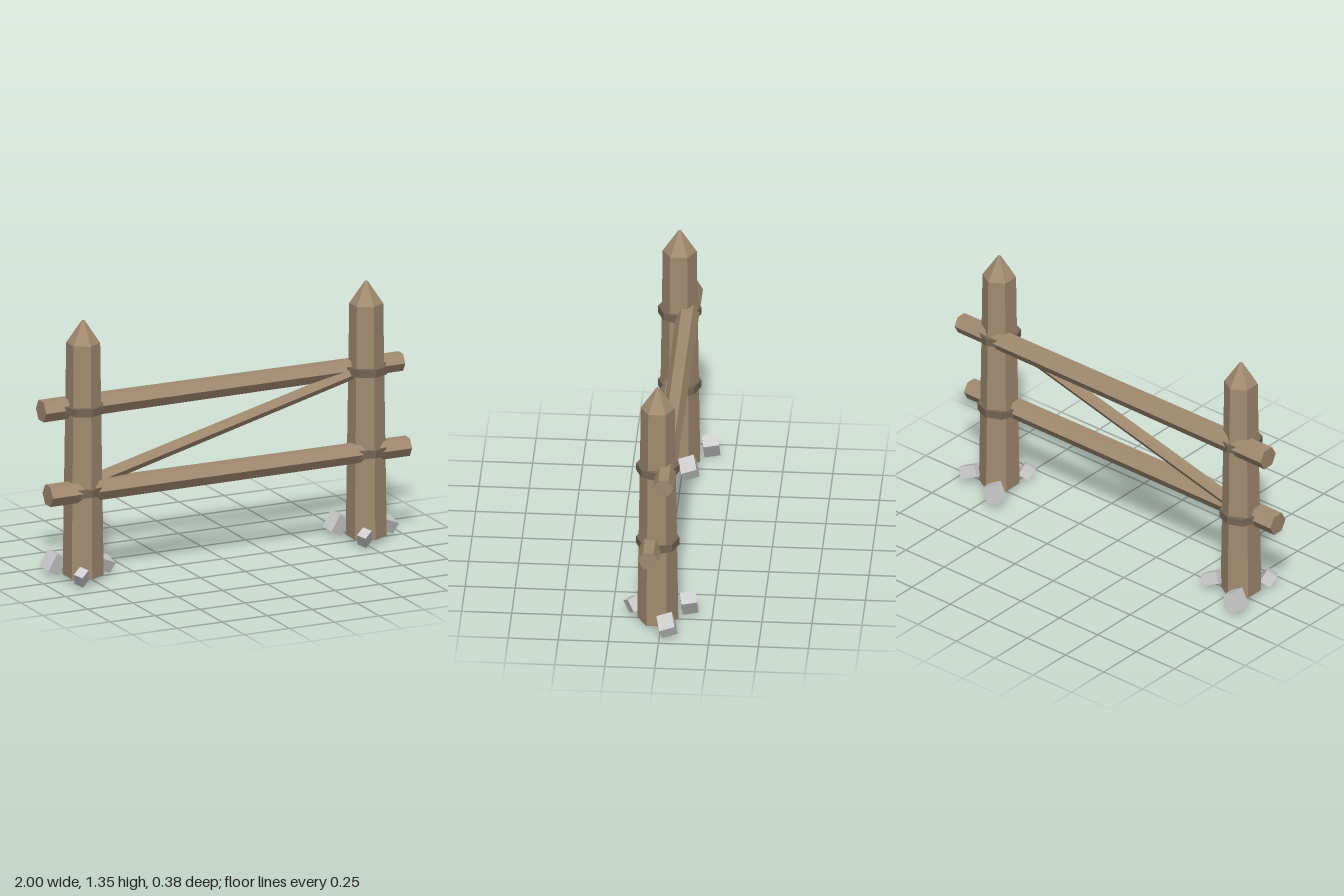
import * as THREE from 'three';

const wood = new THREE.MeshStandardMaterial({ color: 0xa38b70, flatShading: true });
const binding = new THREE.MeshStandardMaterial({ color: 0x766654, flatShading: true });
const stone = new THREE.MeshStandardMaterial({ color: 0xcccccc, flatShading: true });

const POST_X = 0.787, POST_Z = 0.0175;
const UPPER_Y = 0.895, LOWER_Y = 0.475;

function add(parent, name, geometry, material, position, rotation = [0, 0, 0]) {
  const mesh = new THREE.Mesh(geometry, material);
  mesh.name = name;
  mesh.position.set(...position);
  mesh.rotation.set(...rotation);
  parent.add(mesh);
  return mesh;
}

// Six-sided log between two points in the plane z = const
function log(parent, name, [x0, y0], [x1, y1], z, r0, r1) {
  const length = Math.hypot(x1 - x0, y1 - y0);
  const angle = Math.atan2(y1 - y0, x1 - x0) - Math.PI / 2;
  add(parent, name, new THREE.CylinderGeometry(r1, r0, length, 6), wood,
    [(x0 + x1) / 2, (y0 + y1) / 2, z], [0, 0, angle]);
}

// Stones around a post foot: size, offset from the post, rotation
const STONES = [
  { size: [0.07, 0.095, 0.08], at: [-0.093, 0.067, -0.15], turn: [0.12, 0.15, -0.5] },
  { size: [0.06, 0.07, 0.05], at: [-0.073, 0.06, 0.13], turn: [0.3, 0.6, 0.35] },
  { size: [0.095, 0.062, 0.08], at: [0.132, 0.065, -0.055], turn: [0.3, 0.1, -0.46] },
];

function makePost(name, x) {
  const post = new THREE.Group();
  post.name = name;
  post.position.set(x, 0, POST_Z);

  // Tapered shaft and sharpened tip
  add(post, 'postShaft', new THREE.CylinderGeometry(0.085, 0.1025, 1.205, 6), wood, [0, 0.6325, 0]);
  add(post, 'postTip', new THREE.CylinderGeometry(0.008, 0.085, 0.115, 6), wood, [0, 1.2925, 0]);

  // Bindings where the rails cross
  for (const [label, y] of [['upperBinding', UPPER_Y], ['lowerBinding', LOWER_Y]]) {
    add(post, label, new THREE.CylinderGeometry(0.108, 0.108, 0.04, 8), binding, [0, y, 0]);
  }

  for (const { size, at, turn } of STONES) {
    add(post, 'footStone', new THREE.BoxGeometry(...size), stone, at, turn);
  }
  return post;
}

export function createModel() {
  const fence = new THREE.Group();
  fence.name = 'fence';

  fence.add(makePost('rightPost', -POST_X), makePost('leftPost', POST_X));

  // Rails: the upper one sits behind the posts, the lower one in front
  log(fence, 'upperRail', [-1, UPPER_Y], [1, UPPER_Y], -0.025, 0.059, 0.051);
  log(fence, 'lowerRail', [-1, LOWER_Y], [1, LOWER_Y], 0.05, 0.059, 0.053);

  // Diagonal brace between the posts
  log(fence, 'diagonalBrace', [-POST_X, 0.495], [POST_X, 0.9], POST_Z, 0.034, 0.03);

  return fence;
}
